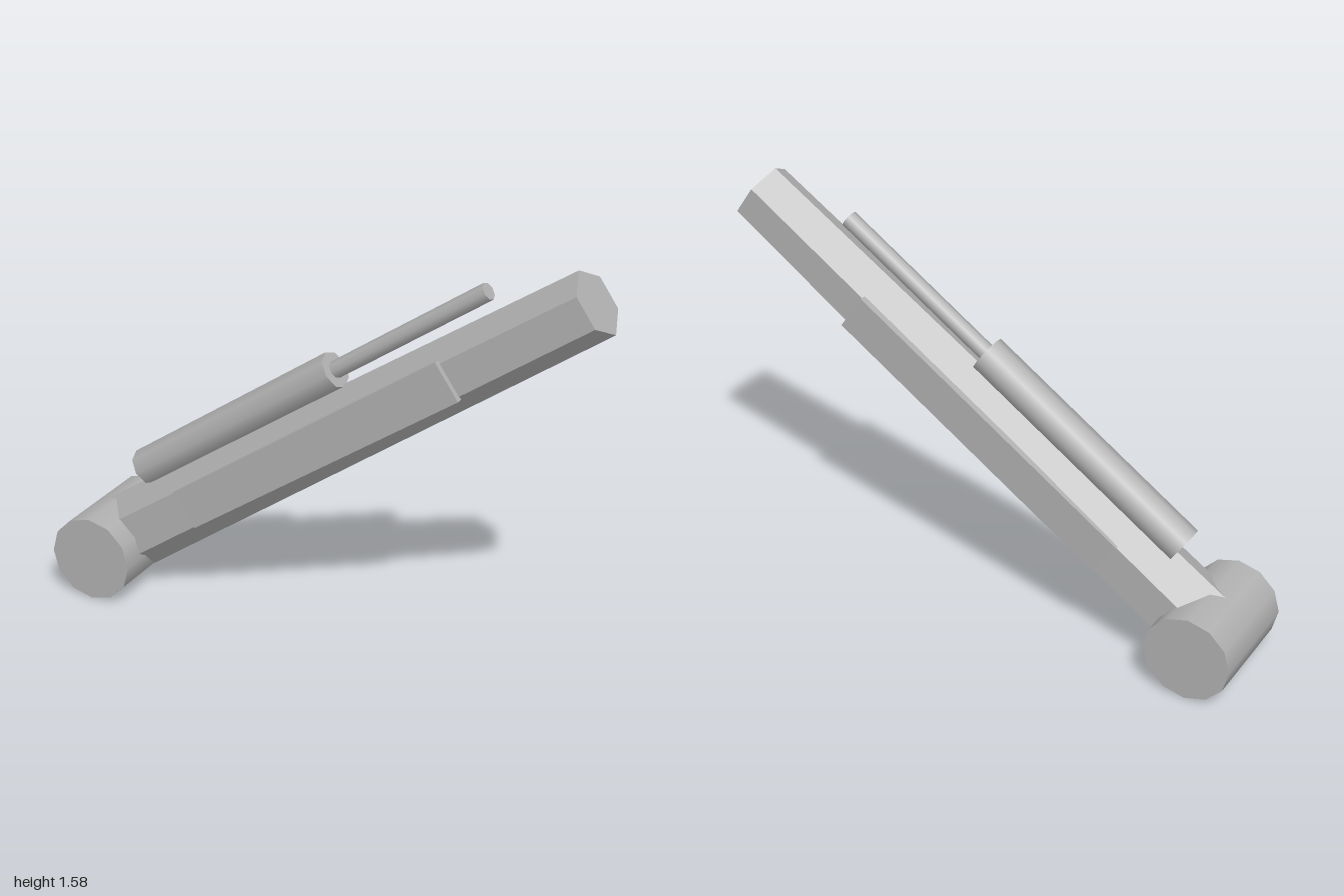
import * as THREE from 'three';

const YAW = 0.497;
const PITCH = 0.606;

export function createModel() {
  const metal = new THREE.MeshStandardMaterial({ color: 0xb0b0b0 });
  metal.name = 'grey metal';

  const model = new THREE.Group();
  model.name = 'hydraulicArm';

  // Turns the whole limb about the vertical axis
  const limb = new THREE.Group();
  limb.name = 'limb';
  limb.position.set(-0.752, 0.168, -0.374);
  limb.rotation.y = -YAW;
  model.add(limb);

  // Raised part: local x runs along the beam, y is its upper side
  const boom = new THREE.Group();
  boom.name = 'boom';
  boom.rotation.z = PITCH;
  boom.position.z = -0.006;
  limb.add(boom);

  const add = (parent, name, geometry, x = 0, y = 0, z = 0) => {
    const mesh = new THREE.Mesh(geometry, metal);
    mesh.name = name;
    mesh.position.set(x, y, z);
    parent.add(mesh);
    return mesh;
  };

  // Round bar along local x from x0 to x1
  const bar = (name, radius, x0, x1, y) => {
    const g = new THREE.CylinderGeometry(radius, radius, x1 - x0, 8);
    g.rotateZ(-Math.PI / 2);
    add(boom, name, g, (x0 + x1) / 2, y);
  };

  // Pivot drum
  const drum = new THREE.CylinderGeometry(0.168, 0.168, 0.436, 12);
  drum.rotateX(Math.PI / 2);
  add(limb, 'pivotDrum', drum);

  // Tapered six-sided beam with an edge on top
  const length = 2.303;
  let beam = new THREE.CylinderGeometry(0.123, 0.155, length, 6);
  beam.rotateY(Math.PI / 6);
  beam.rotateZ(-Math.PI / 2);
  beam = beam.toNonIndexed();
  beam.computeVertexNormals();
  add(boom, 'beam', beam, length / 2);

  // Hydraulic ram above the beam
  bar('ramBarrel', 0.071, 0.285, 1.27, 0.197);
  bar('ramRod', 0.033, 1.2, 1.97, 0.197);

  // Side plates
  for (const side of [1, -1]) {
    const name = side > 0 ? 'leftSidePlate' : 'rightSidePlate';
    add(boom, name, new THREE.BoxGeometry(1.28, 0.156, 0.026), 1.09, 0, side * 0.123);
  }

  return model;
}
